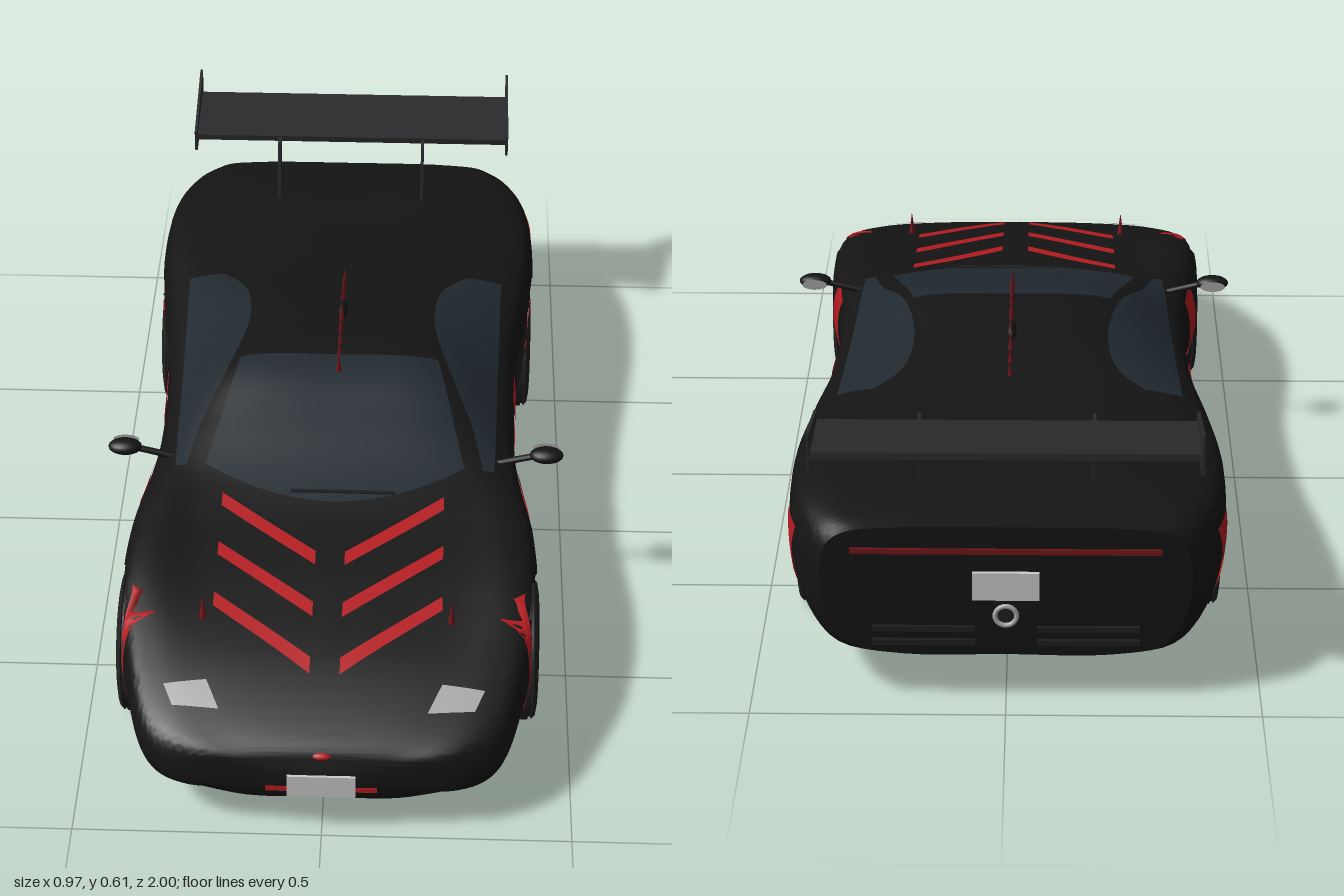
import * as THREE from 'three';
import { toCreasedNormals } from 'three/addons/utils/BufferGeometryUtils.js';

const mat = (color) => new THREE.MeshStandardMaterial({ color, side: THREE.DoubleSide });
const M = {
  body: mat(0x141415), glass: mat(0x20292f), red: mat(0xb51c21), darkRed: mat(0x74161a), tyre: mat(0x202020),
  wing: mat(0x2a2a2c), grey: mat(0x1e1e20), silver: mat(0xa8a8a8), white: mat(0xdddddd),
};
const lerp = THREE.MathUtils.lerp;
const WHEELS = [{ z: 0.585, y: 0.147 }, { z: -0.525, y: 0.147 }];

// Body stations: z, half width, floor y, shoulder y, belt x, belt y, roof x, roof y, top y
const STATIONS = [
  [0.992, 0.17, 0.1, 0.155, 0.13, 0.165, 0.08, 0.17, 0.172],
  [0.975, 0.29, 0.085, 0.17, 0.25, 0.195, 0.15, 0.2, 0.203],
  [0.93, 0.355, 0.068, 0.2, 0.31, 0.217, 0.2, 0.227, 0.23],
  [0.8, 0.4, 0.06, 0.255, 0.345, 0.268, 0.23, 0.275, 0.278],
  [0.6, 0.43, 0.055, 0.31, 0.375, 0.325, 0.26, 0.318, 0.318],
  [0.4, 0.425, 0.05, 0.33, 0.365, 0.35, 0.28, 0.347, 0.347],
  [0.28, 0.405, 0.05, 0.335, 0.355, 0.357, 0.285, 0.367, 0.376],
  [0.15, 0.39, 0.05, 0.34, 0.35, 0.362, 0.262, 0.402, 0.416],
  [0, 0.387, 0.05, 0.345, 0.345, 0.368, 0.23, 0.442, 0.455],
  [-0.2, 0.395, 0.05, 0.355, 0.355, 0.378, 0.2, 0.438, 0.449],
  [-0.4, 0.42, 0.053, 0.365, 0.37, 0.39, 0.265, 0.413, 0.423],
  [-0.6, 0.438, 0.06, 0.37, 0.385, 0.392, 0.28, 0.405, 0.41],
  [-0.8, 0.425, 0.07, 0.365, 0.37, 0.388, 0.27, 0.4, 0.402],
  [-0.9, 0.39, 0.085, 0.355, 0.345, 0.38, 0.26, 0.39, 0.393],
  [-0.945, 0.36, 0.105, 0.345, 0.315, 0.372, 0.24, 0.383, 0.386],
];

function section([z, w, yb, ys, bx, by, rx, ry, yt]) {
  const half = [[0.55 * w, yb], [0.85 * w, yb + 0.022], [0.96 * w, lerp(yb, ys, 0.32)], [w, lerp(yb, ys, 0.72)],
    [0.965 * w, ys], [bx, by], [rx, ry]];
  return [[0, yb], ...half, [0, yt], ...half.map(([x, y]) => [-x, y]).reverse()]
    .map(([x, y]) => new THREE.Vector3(x, y, z));
}

// Loft closed sections along smooth rails, pressing in the wheel wells
function bodyGeometry(rings = 224, sides = 80) {
  const sections = STATIONS.map(section);
  const rails = sections[0].map((_, k) => new THREE.CatmullRomCurve3(sections.map((s) => s[k])));
  const pos = [], index = [];
  for (let i = 0; i <= rings; i++) {
    const loop = new THREE.CatmullRomCurve3(rails.map((r) => r.getPoint(i / rings)), true);
    for (let j = 0; j < sides; j++) {
      const p = loop.getPoint(j / sides);
      const inWell = WHEELS.some((w) => Math.hypot(p.z - w.z, p.y - w.y) < 0.16);
      if (inWell && Math.abs(p.x) > 0.28) p.x = 0.28 * Math.sign(p.x);
      pos.push(p.x, p.y, p.z);
      if (i === rings) continue;
      const a = i * sides + j, b = i * sides + (j + 1) % sides, c = a + sides, d = b + sides;
      index.push(a, c, b, b, c, d);
    }
  }
  const front = pos.length / 3, last = rings * sides;
  pos.push(0, 0.135, 0.998, 0, 0.25, -0.952);
  for (let j = 0; j < sides; j++) {
    const n = (j + 1) % sides;
    index.push(front, j, n, front + 1, last + n, last + j);
  }
  const g = new THREE.BufferGeometry();
  g.setAttribute('position', new THREE.Float32BufferAttribute(pos, 3));
  g.setIndex(index);
  return toCreasedNormals(g, 0.7);
}

export function createModel() {
  const car = new THREE.Group();
  car.name = 'sportsCar';
  const add = (name, geo, material, x = 0, y = 0, z = 0, parent = car) => {
    const m = new THREE.Mesh(geo, material);
    m.name = name;
    m.position.set(x, y, z);
    parent.add(m);
    return m;
  };
  const box = (name, w, h, d, material, x, y, z, parent) =>
    add(name, new THREE.BoxGeometry(w, h, d), material, x, y, z, parent);
  const body = add('body', bodyGeometry(), M.body);

  // Thin panel laid on the body: shape(s, t) gives [x, z] from above or [z, y] from the side
  const ray = new THREE.Raycaster();
  function panel(name, material, view, shape, ns = 8, nt = 8, parent = left, lift = 0.003) {
    const g = new THREE.PlaneGeometry(1, 1, ns, nt), p = g.attributes.position;
    for (let i = 0; i < p.count; i++) {
      const [a, b] = shape(p.getX(i) + 0.5, p.getY(i) + 0.5);
      if (view === 'top') ray.set(new THREE.Vector3(a + 1e-4, 2, b), new THREE.Vector3(0, -1, 0));
      else ray.set(new THREE.Vector3(2, b, a), new THREE.Vector3(-1, 0, 0));
      const hit = ray.intersectObject(body)[0];
      const q = hit ? hit.point.addScaledVector(hit.face.normal, lift) : new THREE.Vector3(0, 0.2, 0);
      p.setXYZ(i, q.x, q.y, q.z);
    }
    g.computeVertexNormals();
    return add(name, g, material, 0, 0, 0, parent);
  }
  // Four corners: two along the first edge, two along the opposite edge
  const quad = (a, b, c, d) => (s, t) => [0, 1].map((k) => lerp(lerp(a[k], b[k], s), lerp(c[k], d[k], s), t));

  // Everything on the left side, mirrored afterwards
  const left = new THREE.Group();
  left.name = 'leftSide';
  car.add(left);

  panel('windscreen', M.glass, 'top', (s, t) => {
    const u = 2 * s - 1;
    return [u * lerp(0.215, 0.275, t), lerp(-0.02, 0.27 + 0.1 * (1 - u * u), t)];
  }, 24, 12, car);
  const inner = new THREE.SplineCurve([[0.315, 0.27], [0.29, 0.15], [0.245, 0.02], [0.215, -0.1], [0.205, -0.22],
    [0.225, -0.33], [0.28, -0.4]].map((p) => new THREE.Vector2(...p)));
  panel('sideWindow', M.glass, 'top', (s, t) => {
    const p = inner.getPoint(t);
    return [lerp(p.x, Math.max(p.x + 0.005, 0.338 + 0.02 * t), s), p.y];
  }, 6, 20);

  // Bonnet, side and arch stripes
  for (let i = 0; i < 3; i++) {
    const z = 0.35 + 0.138 * i;
    panel('bonnetStripe', M.red, 'top', quad([0.233, z], [0.03, z + 0.16], [0.233, z + 0.036], [0.03, z + 0.198]), 10, 2);
  }
  panel('doorStripe', M.red, 'side', quad([0.315, 0.33], [0.22, 0.33], [0.42, 0.12], [0.315, 0.12]), 4, 12);
  panel('sillStripe', M.red, 'side', quad([-0.04, 0.33], [-0.14, 0.33], [0.065, 0.12], [-0.035, 0.12]), 4, 12);
  panel('rearStripe', M.red, 'side', quad([-0.755, 0.33], [-0.845, 0.33], [-0.695, 0.15], [-0.765, 0.15]), 4, 12);
  panel('sideIntake', M.grey, 'side', quad([-0.19, 0.32], [-0.4, 0.315], [-0.14, 0.19], [-0.35, 0.19]), 6, 8);
  WHEELS.forEach((w) => panel('archStripe', M.red, 'side', (s, t) => {
    const a = lerp(-0.2, 1.4, t), r = lerp(0.172, 0.172 + 0.022 * Math.sin(t * Math.PI), s);
    return [w.z + r * Math.cos(a), w.y + r * Math.sin(a)];
  }, 2, 16));
  panel('headlight', M.silver, 'top', quad([0.32, 0.845], [0.235, 0.838], [0.3, 0.89], [0.207, 0.9]), 6, 4);

  // Spikes on the bonnet and along the roof
  const spike = (x, y, z, h, parent) =>
    add('spike', new THREE.ConeGeometry(h * 0.14, h, 10), M.darkRed, x, y + h / 2, z, parent);
  spike(0.252, 0.28, 0.69, 0.075, left);
  for (let i = 0; i < 9; i++) {
    const z = 0.03 - 0.049 * i;
    spike(0, 0.447 - 0.22 * Math.max(0, -z - 0.2), z, 0.05, car);
  }

  // Door mirror
  const mirror = add('mirror', new THREE.SphereGeometry(1, 20, 12), M.body, 0.45, 0.38, 0.225, left);
  mirror.scale.set(0.036, 0.016, 0.024);
  const mirrorGlass = add('mirrorGlass', new THREE.CircleGeometry(1, 20), M.silver, 0.45, 0.38, 0.2, left);
  mirrorGlass.scale.set(0.028, 0.012, 1);
  const arm = new THREE.LineCurve3(new THREE.Vector3(0.34, 0.355, 0.225), new THREE.Vector3(0.43, 0.378, 0.225));
  add('mirrorArm', new THREE.TubeGeometry(arm, 2, 0.007, 8), M.body, 0, 0, 0, left);

  // Rear wing half: post and end plate
  const plate = (name, pts, t, x) => {
    const g = new THREE.ExtrudeGeometry(new THREE.Shape(pts.map(([z, y]) => new THREE.Vector2(-z, y))),
      { depth: t, bevelEnabled: false });
    add(name, g.rotateY(Math.PI / 2), M.wing, x - t / 2, 0, 0, left);
  };
  plate('wingPost', [[-0.745, 0.39], [-0.8, 0.39], [-0.825, 0.54], [-0.765, 0.54]], 0.007, 0.17);
  plate('wingEndPlate', [[-0.79, 0.508], [-0.998, 0.525], [-0.998, 0.61], [-0.79, 0.558]], 0.006, 0.37);
  const wing = box('wing', 0.735, 0.014, 0.175, M.wing, 0, 0.545, -0.89);
  wing.rotation.x = 0.1;

  // Wheels: lathed tyre and rim, brake disc and paired spokes
  const lathe = (pts) => toCreasedNormals(new THREE.LatheGeometry(pts.map((p) => new THREE.Vector2(...p)), 48), 0.6);
  const tread = [];
  for (let i = 0; i < 5; i++) {
    const y = -0.05 + i * 0.021;
    tread.push([0.147, y], [0.147, y + 0.014], [0.141, y + 0.015], [0.141, y + 0.02]);
  }
  const tyre = lathe([[0.1, -0.06], [0.138, -0.062], ...tread, [0.146, 0.056], [0.138, 0.063], [0.122, 0.066], [0.105, 0.062]]);
  const rim = lathe([[0.1, -0.06], [0.098, 0.03], [0.1, 0.06], [0.107, 0.064], [0.109, 0.06]]);
  WHEELS.forEach(({ z, y }, k) => {
    const wheel = new THREE.Group();
    wheel.name = k ? 'rearWheel' : 'frontWheel';
    wheel.position.set(0.366, y, z);
    wheel.rotation.z = -Math.PI / 2;
    left.add(wheel);
    add('tyre', tyre, M.tyre, 0, 0, 0, wheel);
    add('rim', rim, M.grey, 0, 0, 0, wheel);
    add('wheelBack', new THREE.CylinderGeometry(0.1, 0.1, 0.01, 40), M.grey, 0, -0.02, 0, wheel);
    add('brakeDisc', new THREE.CylinderGeometry(0.078, 0.078, 0.01, 40), M.silver, 0, 0.008, 0, wheel);
    add('hub', new THREE.CylinderGeometry(0.024, 0.034, 0.025, 24), M.red, 0, 0.046, 0, wheel);
    add('hubCap', new THREE.CylinderGeometry(0.012, 0.012, 0.01, 20), M.silver, 0, 0.06, 0, wheel);
    for (let i = 0; i < 10; i++) {
      const spoke = new THREE.Group();
      spoke.name = 'spoke';
      spoke.rotation.y = (i / 10) * Math.PI * 2;
      wheel.add(spoke);
      for (const s of [-1, 1]) {
        const bar = box('spokeBar', 0.086, 0.012, 0.007, M.red, 0.06, 0.05, s * 0.009, spoke);
        bar.rotation.y = -s * 0.12;
      }
    }
  });

  // Front bumper lights and rear details
  box('bumperLight', 0.045, 0.012, 0.012, M.red, 0.088, 0.121, 0.99, left);
  for (const y of [0.135, 0.165]) box('rearVent', 0.2, 0.012, 0.012, M.grey, 0.16, y, -0.948, left);
  const right = left.clone();
  right.name = 'rightSide';
  right.scale.x = -1;
  car.add(right);

  box('frontPlate', 0.136, 0.052, 0.008, M.white, 0, 0.131, 0.996);
  const badge = add('frontBadge', new THREE.SphereGeometry(1, 20, 10), M.red, 0, 0.193, 0.977);
  badge.scale.set(0.02, 0.008, 0.01);
  box('tailLight', 0.6, 0.011, 0.012, M.darkRed, 0, 0.335, -0.946);
  box('rearPlate', 0.13, 0.06, 0.008, M.white, 0, 0.262, -0.954);
  add('exhaust', new THREE.TorusGeometry(0.021, 0.005, 10, 24), M.silver, 0, 0.198, -0.957);
  add('exhaustBore', new THREE.CircleGeometry(0.02, 24), M.grey, 0, 0.198, -0.955);

  // Wipers and roof fin
  for (const s of [-1, 1]) box('wiper', 0.12, 0.005, 0.008, M.grey, s * 0.05 + 0.02, 0.362, 0.345);
  const fin = add('roofFin', new THREE.SphereGeometry(1, 16, 8), M.body, 0, 0.455, -0.2);
  fin.scale.set(0.012, 0.018, 0.035);
  return car;
}
